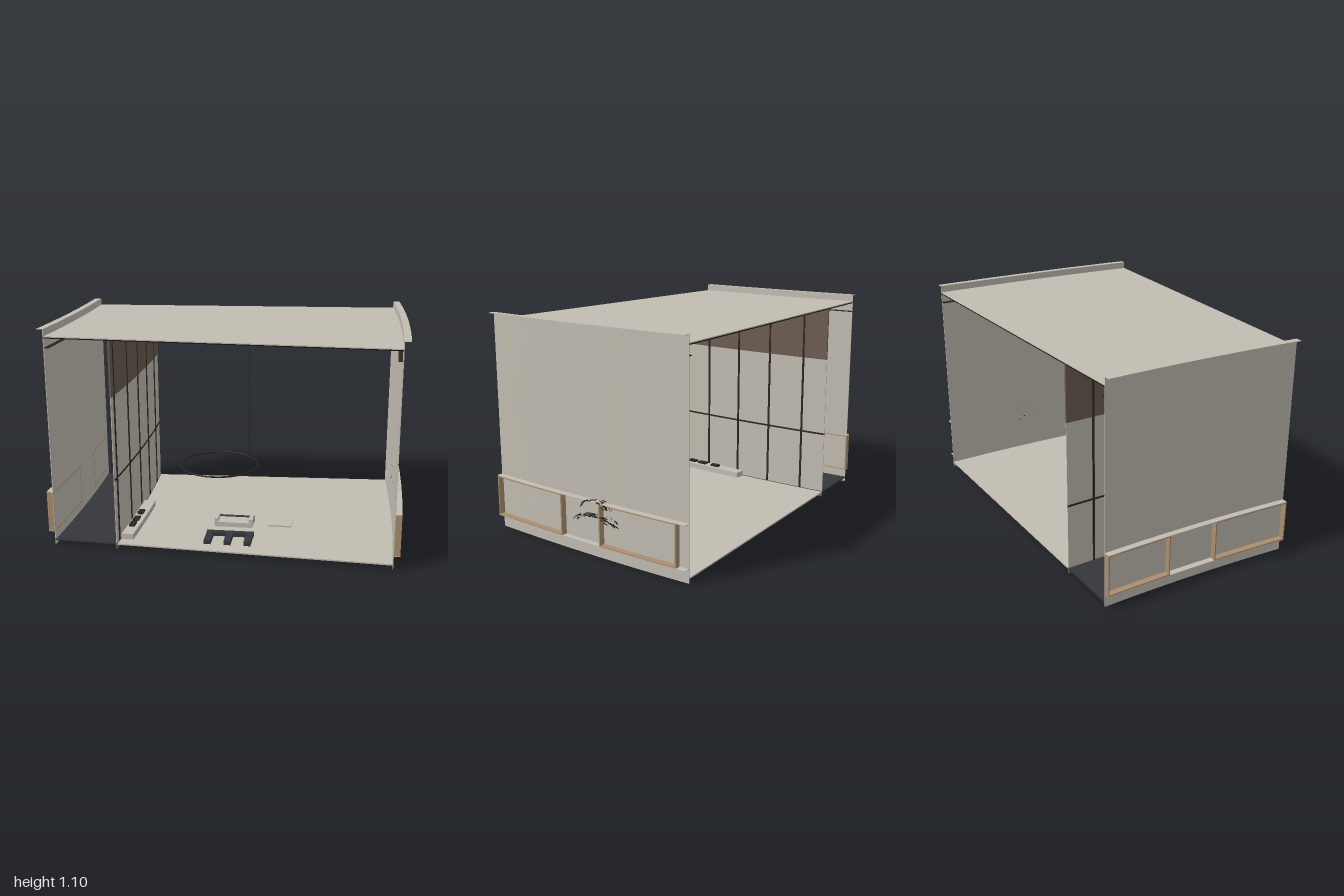
import * as THREE from 'three';

const mat = (name, color) => new THREE.MeshStandardMaterial({ name, color, side: THREE.DoubleSide });

export function createModel() {
  const plaster = mat('plaster', 0xc2bdb2);
  const brown = mat('brown panel', 0x6a5b50);
  const tan = mat('tan wood', 0xab8e6e);
  const dark = mat('dark metal', 0x2b2621);
  const charcoal = mat('charcoal', 0x34363a);
  const ceilingDark = mat('ceiling slats', 0x19150d);
  const leaf = mat('dark leaf', 0x1c1a12);

  const group = new THREE.Group();
  const add = (geo, m, name, parent = group) => {
    const mesh = new THREE.Mesh(geo, m);
    mesh.name = name;
    parent.add(mesh);
    return mesh;
  };

  // The room is a slice of a wide ring: radius r, and f from 0 (front edge) to 1 (back edge)
  const C = 7.4388, HALF = 0.0517;
  const angle = f => -Math.PI / 4 + (2 * f - 1) * HALF;
  const slab = (name, m, r0, r1, f0, f1, y0, y1) => {
    const s = new THREE.Shape();
    s.absarc(-C, C, r1, angle(f0), angle(f1), false);
    s.absarc(-C, C, r0, angle(f1), angle(f0), true);
    const geo = new THREE.ExtrudeGeometry(s, { depth: y1 - y0, bevelEnabled: false, curveSegments: 12 });
    geo.rotateX(-Math.PI / 2).translate(0, y0, 0);
    return add(geo, m, name);
  };
  const A0 = 9.614, A1 = 9.648, P = 9.968, D0 = 11.328, D1 = 11.362;

  // Floors and ceiling
  slab('corridorFloor', charcoal, A1, P, 0, 1, 0.02, 0.027);
  slab('roomFloor', plaster, P, D0, 0, 1, 0.02, 0.027);
  slab('ceilingTop', plaster, A1, D0, 0, 1, 1.06, 1.065);
  slab('ceilingUnderside', ceilingDark, A1, D0, 0, 1, 1.055, 1.06);

  // End walls: thin shell, outward ledges, framed low windows
  const walls = [
    { name: 'rearWall', shell: [A1 - 0.004, A1], ledge: [A0, A1], rail: [A1, A1 + 0.02], windows: [[0.003, 0.41], [0.67, 0.997]] },
    { name: 'frontWall', shell: [D0, D0 + 0.004], ledge: [D0, D1], rail: [D0 - 0.02, D0], windows: [[0.004, 0.385], [0.59, 0.955]] },
  ];
  for (const w of walls) {
    slab(w.name, plaster, ...w.shell, 0, 1, 0, 1.1);
    slab(w.name + 'Cap', plaster, ...w.ledge, 0, 1, 1.097, 1.1);
    slab(w.name + 'Rail', dark, ...w.rail, 0, 1, 1.007, 1.011);
    for (const y of [0.067, 0.277]) slab(w.name + 'Ledge', plaster, ...w.ledge, 0, 1, y, y + 0.003);
    for (const [a, b] of w.windows) {
      for (const f of [a, b]) slab(w.name + 'WindowJamb', tan, ...w.ledge, f - 0.003, f + 0.003, 0.07, 0.275);
      for (const y of [0.07, 0.271]) slab(w.name + 'WindowRail', tan, ...w.ledge, a, b, y, y + 0.005);
    }
  }

  // Partition with base, panes, header and mullions
  slab('partitionBase', brown, P - 0.006, P + 0.004, 0, 1, 0, 0.03);
  slab('partitionPanes', plaster, P - 0.003, P + 0.001, 0, 1, 0.03, 0.78);
  slab('partitionHeader', brown, P - 0.006, P + 0.004, 0, 1, 0.78, 1.055);
  slab('partitionRail', dark, P - 0.006, P + 0.004, 0, 1, 0.357, 0.366);
  for (const f of [0.04, 0.257, 0.46, 0.66, 0.865])
    slab('partitionMullion', dark, P - 0.008, P + 0.006, f - 0.005, f + 0.005, 0.03, 1.055);

  // Bench against the partition, with cushions
  slab('bench', plaster, P + 0.01, P + 0.07, 0.05, 0.5, 0.03, 0.06);
  for (const f of [0.14, 0.21, 0.3]) slab('benchCushion', dark, P + 0.02, P + 0.05, f, f + 0.05, 0.06, 0.07);

  // Furniture is turned to the room: its own x runs from the partition to the front wall
  const furniture = new THREE.Group();
  furniture.name = 'furniture';
  furniture.position.set(-0.31, 0, 0.29);
  furniture.rotation.y = -Math.PI / 4;
  group.add(furniture);
  const box = (name, m, w, h, d, x, y, z) =>
    add(new THREE.BoxGeometry(w, h, d), m, name, furniture).position.set(x, y, z);
  box('lowTableSpine', charcoal, 0.24, 0.02, 0.03, 0, 0.045, -0.06);
  for (const x of [-0.1, 0, 0.1]) box('lowTableSlat', charcoal, 0.035, 0.02, 0.12, x, 0.045, 0);
  box('sofaSeat', plaster, 0.2, 0.025, 0.08, 0, 0.042, -0.22);
  box('sofaBack', charcoal, 0.2, 0.03, 0.02, 0, 0.042, -0.27);
  for (const x of [-0.09, 0.09]) box('sofaArm', plaster, 0.02, 0.045, 0.08, x, 0.052, -0.22);
  box('sideMat', plaster, 0.12, 0.008, 0.08, 0.24, 0.034, -0.25);

  // Hanging ring lamp
  const ring = add(new THREE.TorusGeometry(0.19, 0.004, 6, 48), dark, 'ringLamp');
  ring.rotation.x = Math.PI / 2;
  ring.position.set(-0.32, 0.425, 0.23);
  add(new THREE.CylinderGeometry(0.002, 0.002, 0.63, 6), dark, 'lampWire').position.set(-0.13, 0.74, 0.23);

  // Sparse plant on the front wall: two tiers of small drooping leaves
  let seed = 7;
  const rand = () => (seed = (seed * 16807) % 2147483647) / 2147483647;
  const plant = new THREE.Group();
  plant.name = 'plant';
  plant.position.set(0.645, 0, 0.525);
  plant.rotation.y = Math.PI / 4;
  group.add(plant);
  for (const [y, spread, count] of [[0.215, 0.12, 60], [0.285, 0.09, 32]]) {
    for (let i = 0; i < count; i++) {
      const u = (rand() * 2 - 1), x = u * spread;
      const blade = add(new THREE.PlaneGeometry(0.022, 0.005), leaf, 'leaf', plant);
      blade.position.set(x, y - 0.03 * u * u + (rand() - 0.5) * 0.02, (rand() - 0.5) * 0.05 + 0.005);
      blade.rotation.set(-0.6 + rand() * 0.6, rand() * 1.2 - 0.6, -u * 0.6);
    }
  }
  return group;
}
